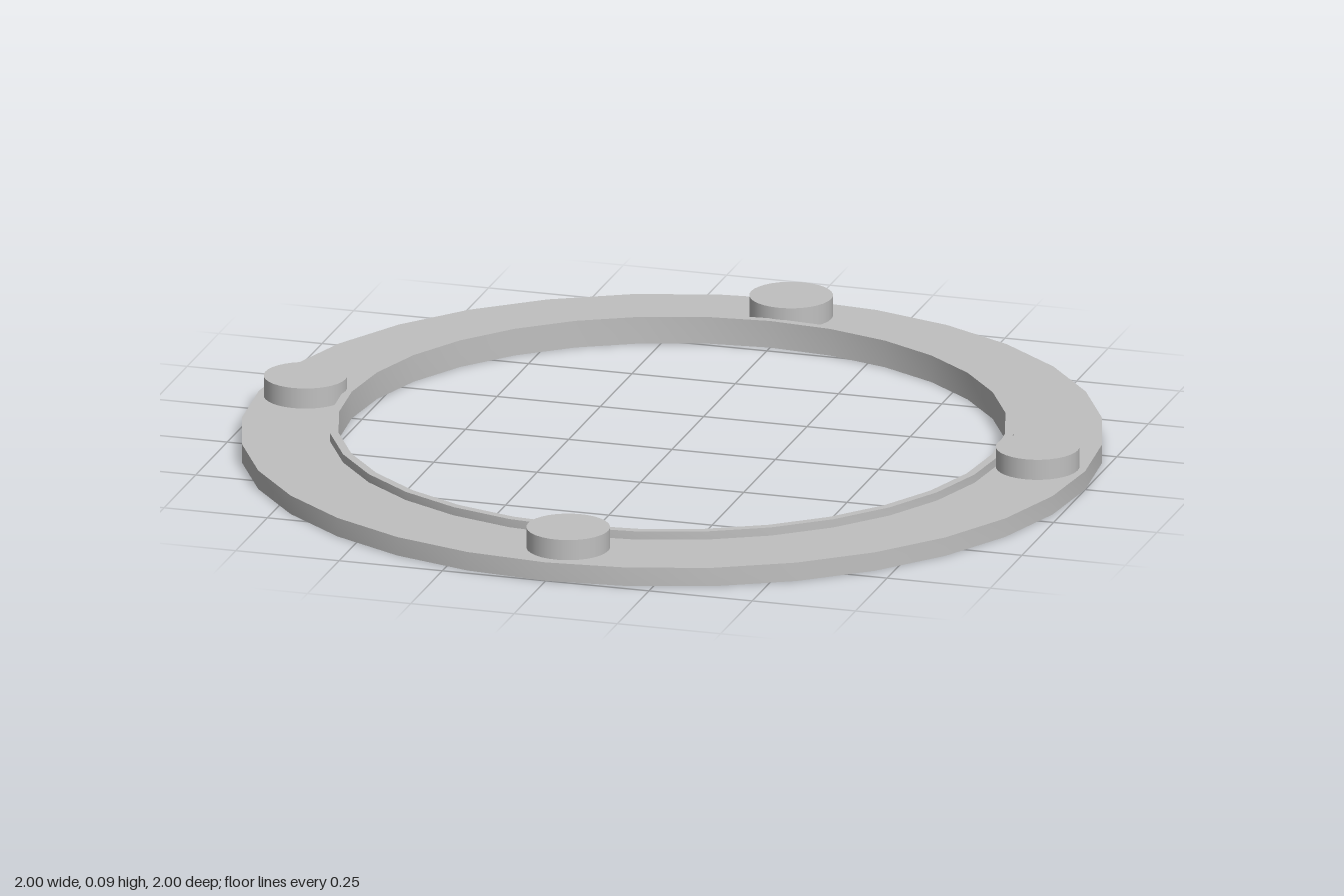
import * as THREE from 'three';
import { toCreasedNormals } from 'three/addons/utils/BufferGeometryUtils.js';

export function createModel() {
  const model = new THREE.Group();
  model.name = 'studdedRing';
  const grey = new THREE.MeshStandardMaterial({ color: 0xc0c0c0 });
  grey.name = 'plain grey';

  // Flat ring with a raised lip around its inner edge
  const profile = [
    [0.775, 0], [1, 0], [1, 0.045], [0.795, 0.045],
    [0.795, 0.065], [0.775, 0.065], [0.775, 0],
  ].map(([r, y]) => new THREE.Vector2(r, y));
  const ring = new THREE.Mesh(
    toCreasedNormals(new THREE.LatheGeometry(profile, 32), Math.PI / 6), grey);
  ring.name = 'ringWithLip';
  model.add(ring);

  // Four round studs, sunk slightly into the ring
  const studGeometry = new THREE.CylinderGeometry(0.097, 0.097, 0.055, 32);
  const studs = {
    leftStud: [0.885, 0],
    rightStud: [-0.887, 0],
    frontStud: [0.017, 0.877],
    backStud: [0.017, -0.887],
  };
  for (const [name, [x, z]] of Object.entries(studs)) {
    const stud = new THREE.Mesh(studGeometry, grey);
    stud.name = name;
    stud.position.set(x, 0.0665, z);
    model.add(stud);
  }
  return model;
}
